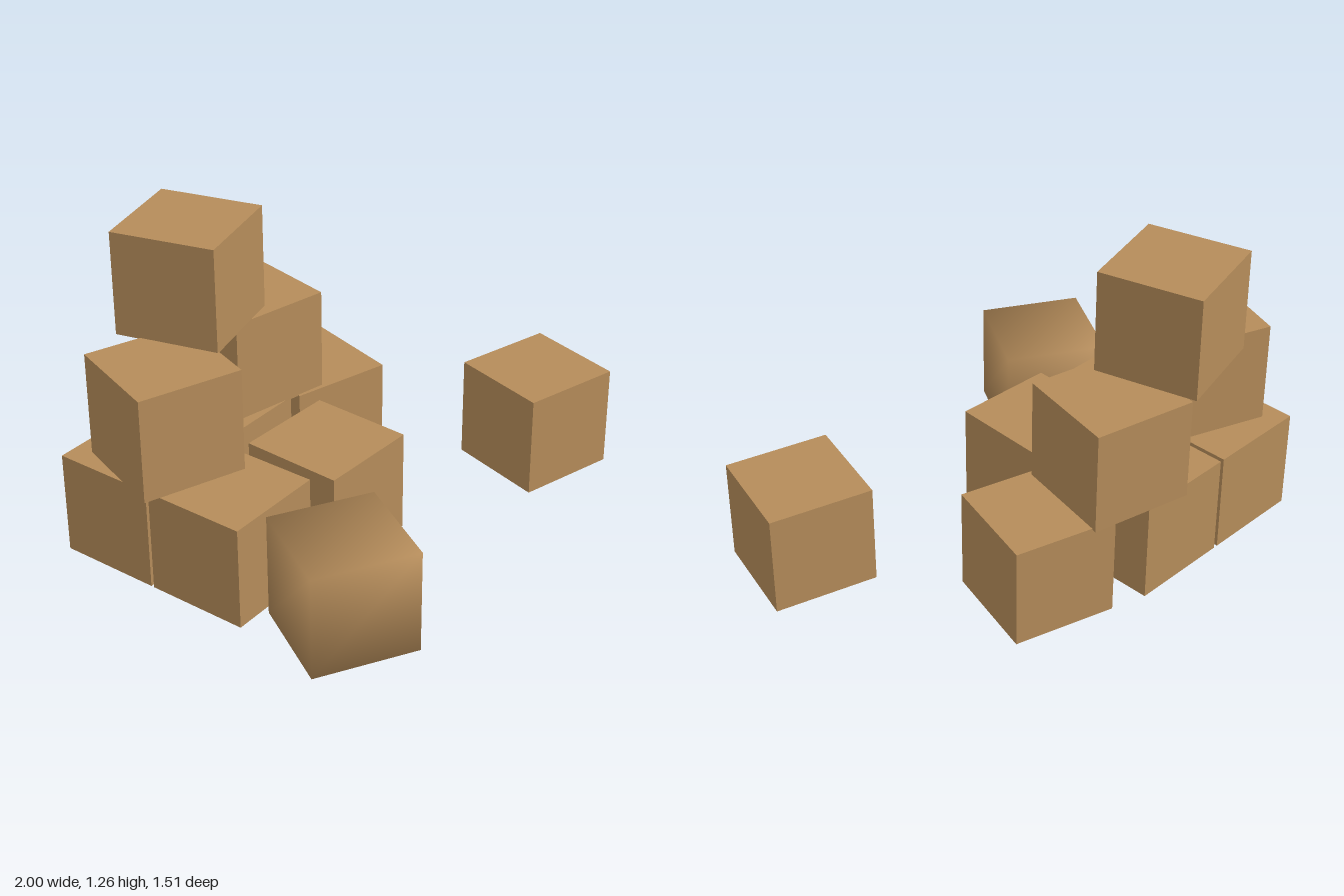
import * as THREE from 'three';

const SIZE = 0.422;

// Cube whose corner normals point outwards along the diagonals, so it shades smoothly
function smoothCube() {
  const geometry = new THREE.BoxGeometry(SIZE, SIZE, SIZE);
  const position = geometry.attributes.position;
  const corner = new THREE.Vector3();
  for (let i = 0; i < position.count; i++) {
    corner.fromBufferAttribute(position, i).normalize();
    geometry.attributes.normal.setXYZ(i, corner.x, corner.y, corner.z);
  }
  return geometry;
}

export function createModel() {
  const group = new THREE.Group();
  const cardboard = new THREE.MeshStandardMaterial({ color: 0xb58c5a });
  cardboard.name = 'cardboard brown';
  const sharp = new THREE.BoxGeometry(SIZE, SIZE, SIZE);

  // name, x, bottom y, z, turn about y in degrees
  const boxes = [
    // ground layer
    ['backLeftBox', -0.71, 0, -0.5, 0],
    ['middleLeftBox', -0.71, 0, -0.065, 0],
    ['backCentreBox', -0.27, 0, -0.5, 0],
    ['frontCentreBox', -0.232, 0, 0.02, -2.5],
    ['backRightBox', 0.227, 0, -0.409, -16.1],
    ['looseRightBox', 0.733, 0, 0.372, -16.1],
    // second layer
    ['upperLeftBox', -0.711, 0.424, -0.364, -20],
    ['upperRightBox', -0.067, 0.417, -0.5, -12.5],
    // top
    ['topBox', -0.388, 0.842, -0.503, 14.7],
    // soft-shaded loose box
    ['smoothFrontBox', -0.714, 0, 0.46, -30.5],
  ];

  for (const [name, x, y, z, turn] of boxes) {
    const geometry = name === 'smoothFrontBox' ? smoothCube() : sharp;
    const box = new THREE.Mesh(geometry, cardboard);
    box.name = name;
    box.position.set(x, y + SIZE / 2, z);
    box.rotation.y = THREE.MathUtils.degToRad(turn);
    group.add(box);
  }
  return group;
}
